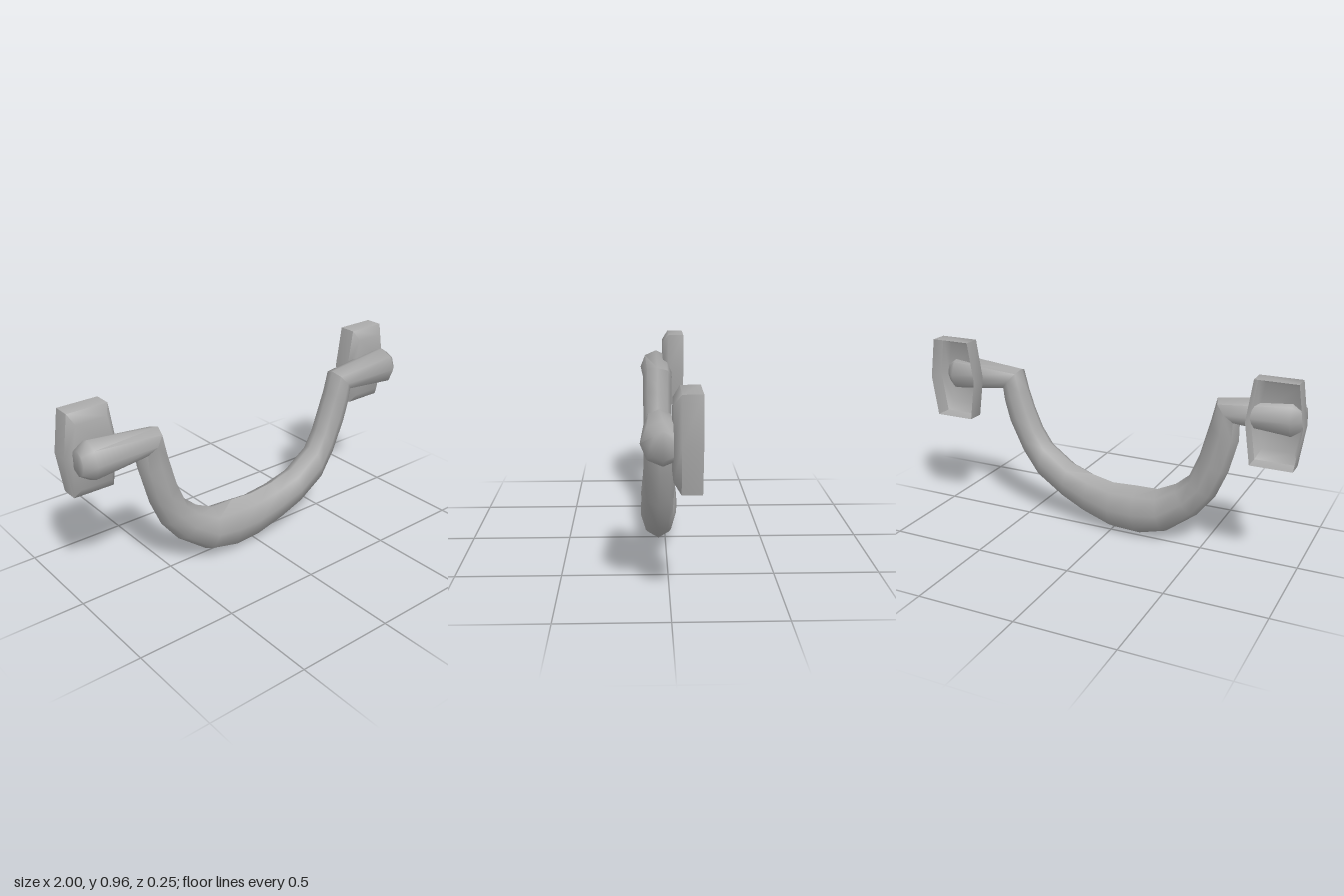
import * as THREE from 'three';
import { toCreasedNormals } from 'three/addons/utils/BufferGeometryUtils.js';

// Skins a list of rings; each ring runs anticlockwise around the path direction
function loft(rings, capStart, capEnd) {
  const n = rings[0].length;
  const pos = rings.flat(2);
  const index = [];
  for (let i = 0; i < rings.length - 1; i++) {
    for (let j = 0; j < n; j++) {
      const k = (j + 1) % n;
      const a = i * n + j, b = i * n + k, c = a + n, d = b + n;
      index.push(a, b, c, b, d, c);
    }
  }
  const last = (rings.length - 1) * n;
  for (let j = 1; j < n - 1; j++) {
    if (capStart) index.push(0, j + 1, j);
    if (capEnd) index.push(last, last + j, last + j + 1);
  }
  const geo = new THREE.BufferGeometry();
  geo.setAttribute('position', new THREE.Float32BufferAttribute(pos, 3));
  geo.setIndex(index);
  return toCreasedNormals(geo, 1.05);
}

// Eight-sided section between an outer and an inner point, from zBack to zFront
function section([ox, oy, ix, iy, zBack, zFront]) {
  const ring = [];
  for (let j = 0; j < 8; j++) {
    const a = (j * Math.PI) / 4, c = Math.cos(a) / 2, s = Math.sin(a) / 2;
    ring.push([
      (ox + ix) / 2 + (ix - ox) * c,
      (oy + iy) / 2 + (iy - oy) * c,
      (zBack + zFront) / 2 + (zFront - zBack) * s,
    ]);
  }
  return ring;
}

// Bulging six-sided outline of a mounting plate
function plateRing(z, insetX, insetY) {
  const w = 0.103 - insetX, m = 0.133 - insetX, h = 0.207 - insetY;
  return [[m, 0, z], [w, h, z], [-w, h, z], [-m, 0, z], [-w, -h, z], [w, -h, z]];
}

export function createModel() {
  const group = new THREE.Group();
  const metal = new THREE.MeshStandardMaterial({ color: 0xa8a8a8 });
  metal.name = 'grey metal';
  const shell = new THREE.MeshStandardMaterial({ color: 0xa8a8a8, side: THREE.DoubleSide });
  shell.name = 'grey metal shell';

  // Drooping handle with tapered end arms: outer x, y, inner x, y, back z, front z
  const sections = [
    [-0.973, 0.69, -0.973, 0.815, -0.02, 0.085],
    [-0.92, 0.655, -0.92, 0.85, -0.06, 0.123],
    [-0.665, 0.69, -0.55, 0.805, -0.055, 0.11],
    [-0.665, 0.6, -0.52, 0.68, -0.052, 0.11],
    [-0.62, 0.43, -0.47, 0.5, -0.052, 0.108],
    [-0.56, 0.29, -0.42, 0.38, -0.053, 0.108],
    [-0.465, 0.17, -0.35, 0.32, -0.056, 0.112],
    [-0.3, 0.045, -0.25, 0.272, -0.067, 0.125],
    [-0.15, 0.004, -0.13, 0.27, -0.066, 0.122],
    [0, 0.01, 0, 0.263, -0.056, 0.115],
    [0.16, 0.06, 0.13, 0.285, -0.042, 0.118],
    [0.29, 0.12, 0.26, 0.325, -0.03, 0.125],
    [0.44, 0.22, 0.39, 0.42, -0.027, 0.125],
    [0.53, 0.35, 0.44, 0.505, -0.03, 0.118],
    [0.61, 0.52, 0.475, 0.6, -0.032, 0.112],
    [0.64, 0.63, 0.51, 0.7, -0.03, 0.112],
    [0.645, 0.69, 0.54, 0.81, -0.03, 0.112],
    [0.92, 0.655, 0.92, 0.85, -0.06, 0.128],
    [0.97, 0.69, 0.97, 0.815, -0.02, 0.085],
  ];
  const handle = new THREE.Mesh(loft(sections.map(section), true, true), metal);
  handle.name = 'handle';
  group.add(handle);

  // Hollow mounting plates, open at the back
  const plateGeo = loft(
    [plateRing(-0.127, 0, 0), plateRing(-0.04, 0, 0), plateRing(-0.008, 0.025, 0.048)],
    false, true
  );
  for (const side of [-1, 1]) {
    const plate = new THREE.Mesh(plateGeo, shell);
    plate.name = side > 0 ? 'leftMountingPlate' : 'rightMountingPlate';
    plate.position.set(side * 0.867, 0.755, 0);
    group.add(plate);
  }
  return group;
}
